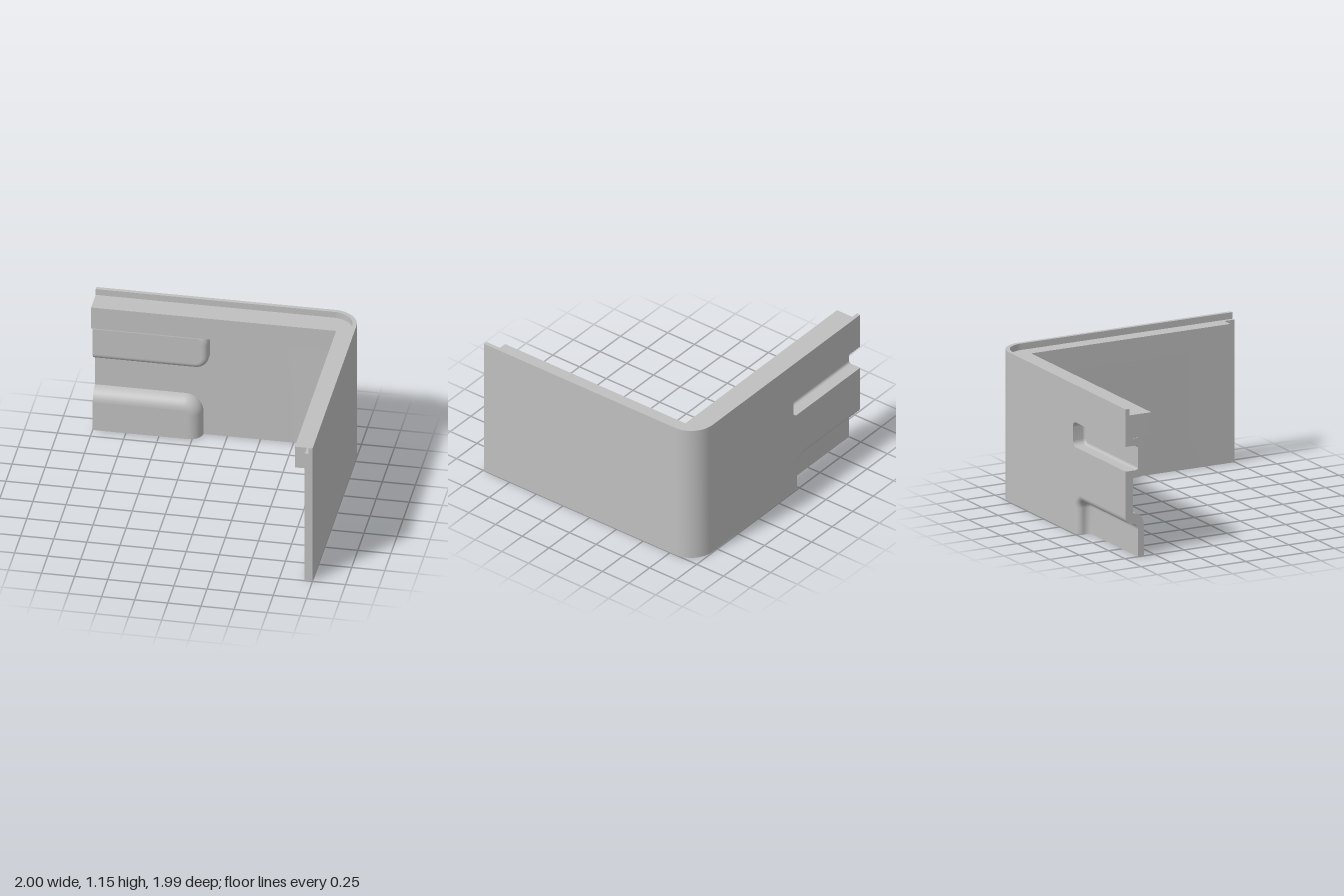
import * as THREE from 'three';
import { toCreasedNormals } from 'three/addons/utils/BufferGeometryUtils.js';

const BACK = -0.994, WALL = 0.06, LEDGE = 1.1, TOP = 1.15;
const FACE = BACK + WALL; // inner face of the back wall
const V = (x, y) => new THREE.Vector2(x, y);

export function createModel() {
  const group = new THREE.Group();
  const grey = new THREE.MeshStandardMaterial({ color: 0xbfbfbf, side: THREE.DoubleSide });
  grey.name = 'grey';

  const add = (name, geometry, parent = group) => {
    const mesh = new THREE.Mesh(toCreasedNormals(geometry, 0.5), grey);
    mesh.name = name;
    parent.add(mesh);
    return mesh;
  };

  // Extrude a plan drawn in (x, -z) from height y0 to y1
  const plan = (name, shape, y0, y1) => {
    const geo = new THREE.ExtrudeGeometry(shape, { depth: y1 - y0, bevelEnabled: false, curveSegments: 24 });
    add(name, geo.rotateX(-Math.PI / 2).translate(0, y0, 0));
  };

  // Outer edge of the corner wall, inset by a distance
  const outerEdge = (shape, inset, xStart, end) => {
    shape.moveTo(xStart, -BACK - inset);
    shape.lineTo(0.8, -BACK - inset);
    shape.absarc(0.8, -BACK - 0.2, 0.2 - inset, Math.PI / 2, 0, true);
    shape.lineTo(1 - inset, end);
    return shape;
  };
  const wallPlan = (thickness, xStart) => {
    const s = outerEdge(new THREE.Shape(), 0, xStart, BACK);
    s.lineTo(1 - thickness, BACK);
    s.lineTo(1 - thickness, -BACK - 0.2);
    s.absarc(0.8, -BACK - 0.2, 0.2 - thickness, 0, Math.PI / 2, false);
    s.lineTo(xStart, -BACK - thickness);
    return s;
  };

  // Side wall with rounded corner, and the thin lip along the top
  plan('cornerWall', wallPlan(WALL, 0), 0, LEDGE);
  plan('topLip', wallPlan(0.031, -1), LEDGE, TOP);

  // Thick rail under the lip, with a square inner corner
  const rail = outerEdge(new THREE.Shape(), 0.04, -1, -0.91);
  rail.lineTo(0.85, -0.91);
  rail.lineTo(0.85, 0.778);
  rail.lineTo(-1, 0.778);
  plan('rail', rail, 0.92, LEDGE);

  // Quarter arc as [inset, z] points
  const arc = (cd, cz, r, a0, a1, n = 10) => Array.from({ length: n + 1 }, (_, i) => {
    const a = a0 + (a1 - a0) * i / n;
    return [cd + r * Math.cos(a), cz + r * Math.sin(a)];
  });
  const H = Math.PI / 2, FRONT = -0.84, FLOOR = -0.89;

  // Pressed-in pockets: front and back are their skin profiles
  const upper = {
    name: 'upperPocket', xEnd: -0.13, top: 0.918, bottom: 0.613, radius: 0.1,
    front: [[0, FACE], ...arc(0.045, FRONT - 0.045, 0.045, 2 * H, H)],
    back: [[0.057, BACK], ...arc(0.077, FLOOR - 0.02, 0.02, 2 * H, H)],
  };
  const lower = {
    name: 'lowerPocket', xEnd: -0.18, top: 0.342, bottom: null, radius: 0.14,
    front: arc(0.1, FRONT - 0.1, 0.1, 2 * H, H),
    back: [...arc(0.03, BACK + 0.052, 0.052, -H, 0), ...arc(0.134, BACK + 0.052, 0.052, 2 * H, H)],
  };
  lower.front.unshift([0, FACE]);

  // Pocket outline at an inset, from the left end round to the bottom
  const outline = (p, d) => {
    const r = Math.max(p.radius - d, 0.004), x = p.xEnd - d, y = p.top - d;
    const pts = [V(-1, y)];
    for (let i = 0; i <= 12; i++) {
      const a = H - H * i / 12;
      pts.push(V(x - r + r * Math.cos(a), y - r + r * Math.sin(a)));
    }
    if (p.bottom === null) return [...pts, V(x, 0)];
    const b = p.bottom + d;
    for (let i = 0; i <= 12; i++) {
      const a = -H * i / 12;
      pts.push(V(x - r + r * Math.cos(a), b + r + r * Math.sin(a)));
    }
    return [...pts, V(-1, b)];
  };

  // Skin lofted through the outlines of a profile
  const loft = (p, profile, flip) => {
    const pos = [], index = [];
    profile.forEach(([d, z]) => outline(p, d).forEach(v => pos.push(v.x, v.y, z)));
    const n = outline(p, 0).length;
    for (let j = 0; j < profile.length - 1; j++) {
      for (let i = 0; i < n - 1; i++) {
        const a = j * n + i, b = a + 1, c = a + n, e = c + 1;
        if (flip) index.push(a, b, c, b, e, c);
        else index.push(a, c, b, b, c, e);
      }
    }
    const geo = new THREE.BufferGeometry();
    geo.setAttribute('position', new THREE.Float32BufferAttribute(pos, 3));
    geo.setIndex(index);
    geo.computeVertexNormals();
    return geo;
  };

  // Flat panel closing the middle of a skin
  const fill = (p, [d, z]) => {
    const pts = outline(p, d);
    if (p.bottom === null) pts.push(V(-1, 0));
    return new THREE.ShapeGeometry(new THREE.Shape(pts)).translate(0, 0, z);
  };

  for (const p of [upper, lower]) {
    const pocket = new THREE.Group();
    pocket.name = p.name;
    group.add(pocket);
    const { front, back } = p;
    add('frontSkin', loft(p, front, false), pocket);
    add('frontFace', fill(p, front.at(-1)), pocket);
    add('recessSkin', loft(p, back, false), pocket);
    const floor = fill(p, back.at(-1));
    floor.index.array.reverse();
    add('recessFloor', floor, pocket);

    // Cut edge at the left end, drawn in (z, y)
    const upperSide = list => list.map(([d, z]) => V(z, p.top - d));
    const lowerSide = list => p.bottom === null
      ? [V(list.at(-1)[1], 0)]
      : list.map(([d, z]) => V(z, p.bottom + d)).reverse();
    const section = [...upperSide(front), ...lowerSide(front),
      ...[...upperSide(back), ...lowerSide(back)].reverse()];
    const end = new THREE.ShapeGeometry(new THREE.Shape(section));
    add('endEdge', end.rotateY(-H).translate(-1, 0, 0), pocket);

    // Cut edge along the base, drawn in (x, z)
    if (p.bottom === null) {
      const side = list => [...list.map(([d, z]) => V(p.xEnd - d, z)), V(-1, list.at(-1)[1])];
      const base = new THREE.ShapeGeometry(new THREE.Shape([...side(front), ...side(back).reverse()]));
      add('baseEdge', base.rotateX(H), pocket);
    }
  }

  // Back wall panel, notched where the pockets open
  const panel = new THREE.Shape([
    V(0, 0), ...outline(lower, lower.back[0][0]).reverse(),
    ...outline(upper, upper.back[0][0]).reverse(),
    V(-1, LEDGE), V(0, LEDGE),
  ]);
  add('backPanel', new THREE.ExtrudeGeometry(panel, { depth: WALL, bevelEnabled: false }).translate(0, 0, BACK));

  return group;
}
